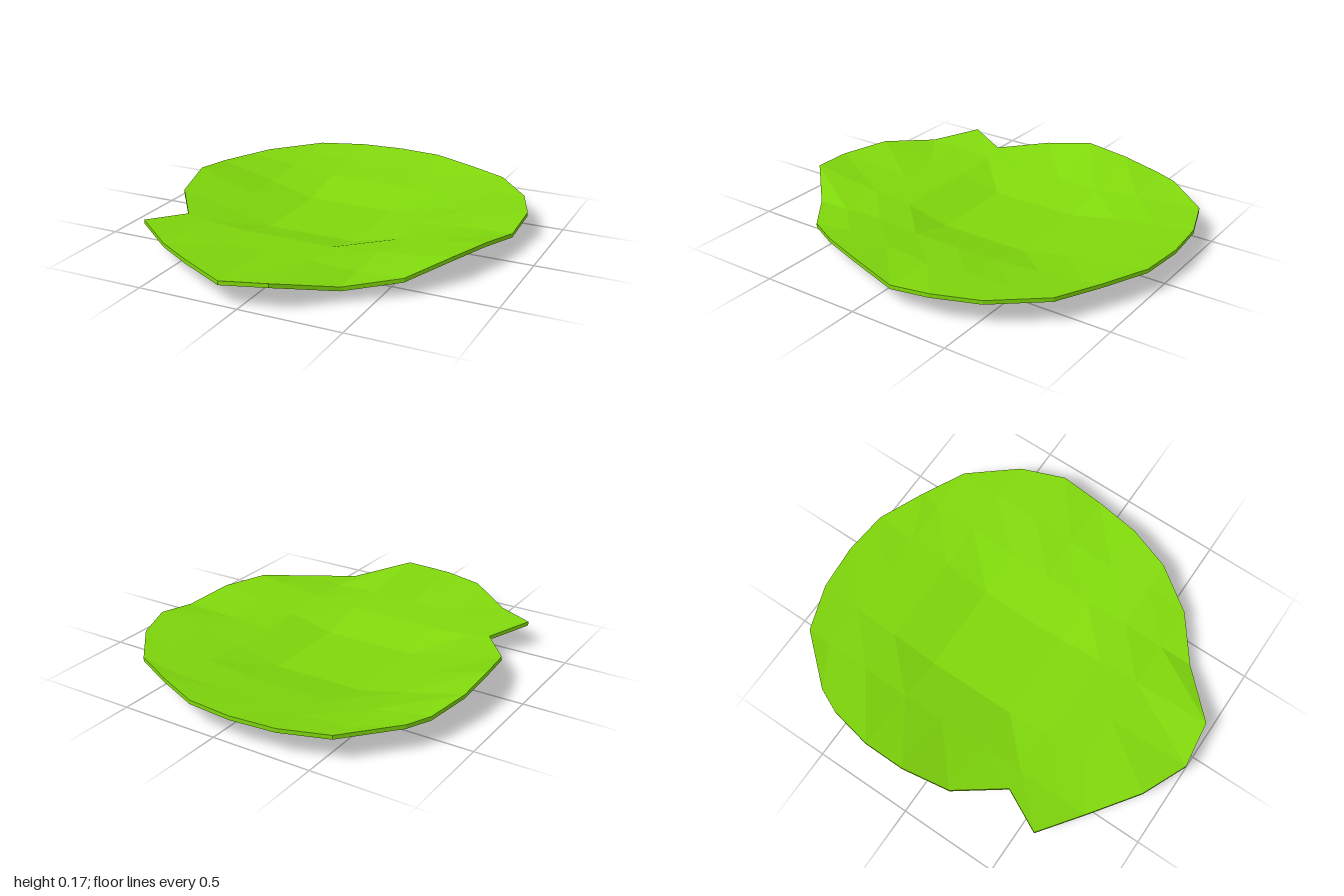
import * as THREE from 'three';

const THICKNESS = 0.02;
// Columns of the facet grid; the first and last follow the outline
const COLS = [-0.76, -0.55, -0.32, -0.09, 0.14, 0.37, 0.59, 0.78];
const BACK_Z = [-0.66, -0.9, -0.98, -1, -0.98, -0.88, -0.77, -0.54];
const FRONT_Z = [0.58, 0.73, 0.9, 1, 0.97, 0.75, 0.58, 0.58];

// Middle rows: z, left outline x, right outline x
const ROWS = [
  [-0.56, -0.815, 0.78],
  [-0.32, -0.86, 0.865],
  [-0.1, -0.865, 0.86],
  [0.14, -0.82, 0.81],
  [0.365, -0.65, 0.73], // notch on the left outline
  [0.58, -0.76, 0.59],
];

// Height of the upper surface, back row to front row
const HEIGHTS = [
  [0.133, 0.133, 0.133, 0.133, 0.133, 0.133, 0.133, 0.133],
  [0.133, 0.115, 0.1, 0.1, 0.1, 0.11, 0.133, 0.133],
  [0.133, 0.1, 0.07, 0.07, 0.07, 0.09, 0.115, 0.133],
  [0.152, 0.075, 0.02, 0.02, 0.02, 0.07, 0.105, 0.133],
  [0.175, 0.075, 0.02, 0.02, 0.02, 0.07, 0.09, 0.1],
  [0.135, 0.075, 0.02, 0.02, 0.02, 0.072, 0.105, 0.133],
  [0.11, 0.09, 0.075, 0.075, 0.075, 0.09, 0.115, 0.133],
  [0.133, 0.1, 0.09, 0.09, 0.09, 0.08, 0.09, 0.09],
  [0.133, 0.105, 0.133, 0.115, 0.135, 0.075, 0.09, 0.09],
];

function gridPoint(i, j) {
  const y = HEIGHTS[i][j];
  const last = COLS.length - 1;
  if (i === 0) return new THREE.Vector3(COLS[j], y, BACK_Z[j]);
  if (i === HEIGHTS.length - 1) return new THREE.Vector3(Math.min(COLS[j], 0.59), y, FRONT_Z[j]);
  // Second row meets the back outline at its ends
  if (i === 1) return new THREE.Vector3(COLS[j], y, Math.max(BACK_Z[j], -0.78));
  const [z, left, right] = ROWS[i - 2];
  const x = j === 0 ? left : j === last ? right : COLS[j];
  // The corner of the first middle row lies on the outline
  return new THREE.Vector3(x, y, i === 2 && (j === 0 || j === last) ? -0.54 : z);
}

function padGeometry() {
  const positions = [];
  const nRows = HEIGHTS.length - 1;
  const nCols = COLS.length - 1;
  const top = HEIGHTS.map((row, i) => row.map((_, j) => gridPoint(i, j)));
  const lower = (p) => new THREE.Vector3(p.x, p.y - THICKNESS, p.z);

  // Adds a triangle unless its corners coincide
  const tri = (a, b, c) => {
    const area = b.clone().sub(a).cross(c.clone().sub(a)).length();
    if (area < 1e-6) return;
    for (const p of [a, b, c]) positions.push(p.x, p.y, p.z);
  };

  // Upper and lower faces
  for (let i = 0; i < nRows; i++) {
    for (let j = 0; j < nCols; j++) {
      const a = top[i][j], b = top[i][j + 1];
      const c = top[i + 1][j], d = top[i + 1][j + 1];
      for (const [p, q, r] of [[a, c, b], [b, c, d]]) {
        tri(p, q, r);
        tri(lower(p), lower(r), lower(q));
      }
    }
  }

  // Thin rim: left side, front, right side, back
  const rim = [];
  for (let i = 0; i < nRows; i++) rim.push(top[i][0]);
  for (let j = 0; j < nCols; j++) rim.push(top[nRows][j]);
  for (let i = nRows; i > 0; i--) rim.push(top[i][nCols]);
  for (let j = nCols; j > 0; j--) rim.push(top[0][j]);
  rim.forEach((p, k) => {
    const q = rim[(k + 1) % rim.length];
    tri(p, lower(p), q);
    tri(q, lower(p), lower(q));
  });

  const geometry = new THREE.BufferGeometry();
  geometry.setAttribute('position', new THREE.Float32BufferAttribute(positions, 3));
  geometry.computeVertexNormals();
  return geometry;
}

export function createModel() {
  const group = new THREE.Group();
  group.name = 'lilyPad';
  const leaf = new THREE.Mesh(
    padGeometry(),
    new THREE.MeshStandardMaterial({ color: 0x80d80c, flatShading: true })
  );
  leaf.name = 'leaf';
  group.add(leaf);
  return group;
}
